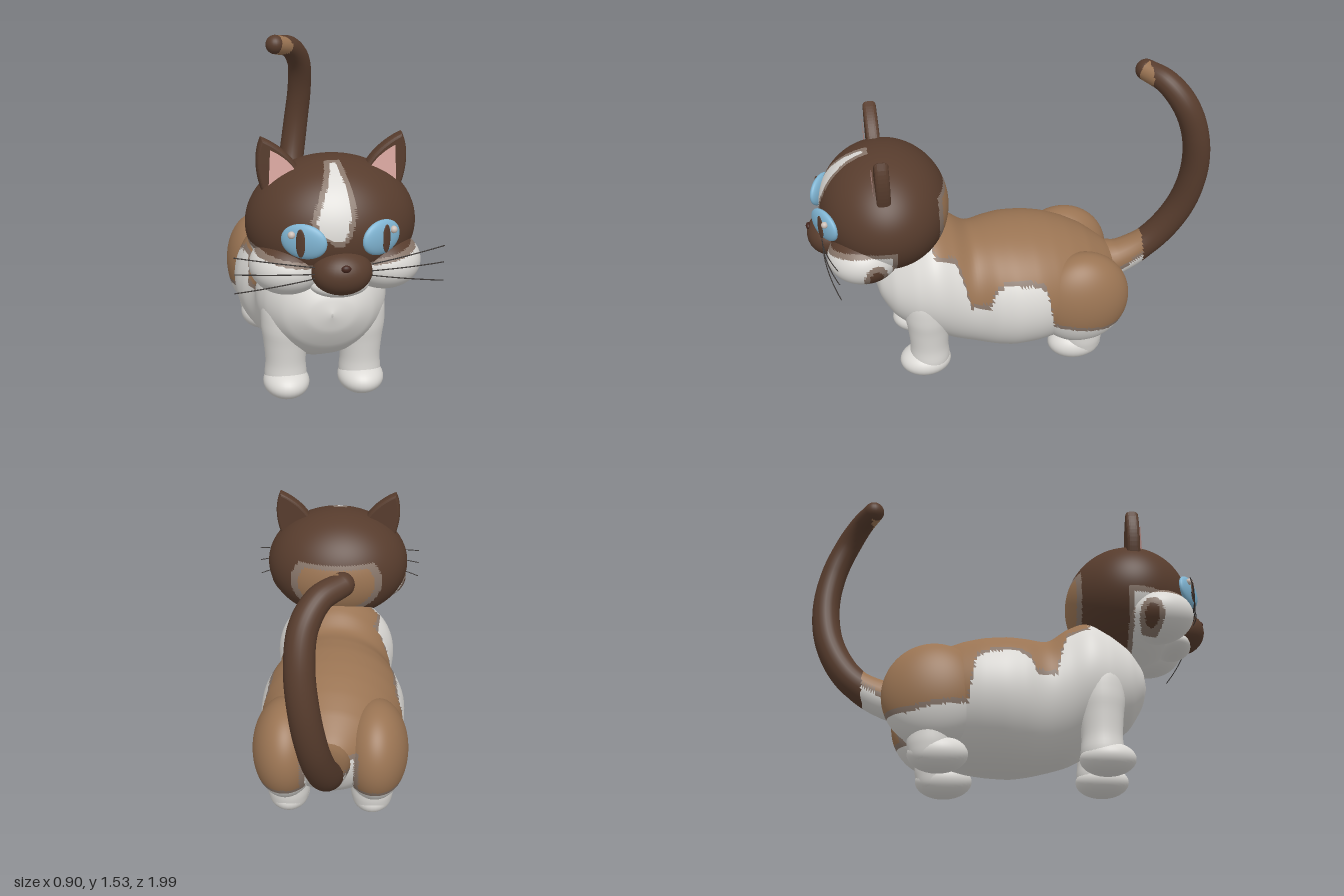
import * as THREE from 'three';

const mat = (name, color, side = THREE.FrontSide) => {
  const m = new THREE.MeshStandardMaterial({ color, side });
  m.name = name;
  return m;
};

// Piecewise-linear lookup through [t, value] pairs sorted by t
function along(points, t) {
  if (t <= points[0][0]) return points[0][1];
  for (let i = 1; i < points.length; i++) {
    const [a, u] = points[i - 1], [b, v] = points[i];
    if (t <= b) return u + ((v - u) * (t - a)) / (b - a);
  }
  return points[points.length - 1][1];
}

// Fur patch: d > 0 lies inside, with a thin blended rim around zero
const patch = (d, inside, outside) => (d > 0.012 ? inside : d > -0.012 ? 'edge' : outside);

export function createModel() {
  const cat = new THREE.Group();
  cat.name = 'cat';
  const M = {
    dark: mat('darkFur', 0x573c2d), tan: mat('tanFur', 0x9a7453),
    white: mat('whiteFur', 0xdbd9d5), edge: mat('patchEdge', 0x88766a),
    blue: mat('eyeBlue', 0x80b5d3), pink: mat('earPink', 0xdfaca5, THREE.DoubleSide),
    nose: mat('noseBrown', 0x42241c), glint: mat('eyeGlint', 0xcabdb5),
    whisker: mat('whiskerGrey', 0x3c3836),
  };
  const keys = Object.keys(M);

  const add = (name, geo, material, parent = cat) => {
    const mesh = new THREE.Mesh(geo, material);
    mesh.name = name;
    parent.add(mesh);
    return mesh;
  };

  // Sort faces into material groups by a colour rule on each face centre
  function addPainted(name, geo, rule) {
    const idx = geo.index.array, p = geo.attributes.position, bins = {};
    const mid = (get, i) => (get(idx[i]) + get(idx[i + 1]) + get(idx[i + 2])) / 3;
    for (let i = 0; i < idx.length; i += 3) {
      const key = rule(mid((k) => p.getX(k), i), mid((k) => p.getY(k), i), mid((k) => p.getZ(k), i));
      (bins[key] ??= []).push(idx[i], idx[i + 1], idx[i + 2]);
    }
    const order = [];
    geo.clearGroups();
    for (const key in bins) {
      geo.addGroup(order.length, bins[key].length, keys.indexOf(key));
      for (const v of bins[key]) order.push(v);
    }
    geo.setIndex(order);
    return add(name, geo, Object.values(M));
  }

  const ellipsoid = (c, r, n = 32) =>
    new THREE.SphereGeometry(1, n, Math.round(n * 0.75)).scale(...r).translate(...c);

  // Torso and neck: elliptical sections [z, top, bottom, half width], front to back
  const sections = [
    [0.685, 0.51, 0.49, 0.005], [0.665, 0.58, 0.41, 0.11], [0.6, 0.68, 0.3, 0.21], [0.5, 0.77, 0.22, 0.28],
    [0.4, 0.82, 0.17, 0.31], [0.3, 0.79, 0.115, 0.3], [0.2, 0.725, 0.085, 0.305], [0.1, 0.733, 0.066, 0.345],
    [0, 0.74, 0.058, 0.367], [-0.1, 0.735, 0.065, 0.365], [-0.2, 0.718, 0.08, 0.345], [-0.3, 0.685, 0.11, 0.31],
    [-0.4, 0.635, 0.16, 0.255], [-0.5, 0.56, 0.25, 0.16], [-0.55, 0.51, 0.33, 0.09], [-0.57, 0.43, 0.42, 0.005],
  ];
  const sizes = new THREE.CatmullRomCurve3(sections.map(([, t, b, w]) => new THREE.Vector3(t, b, w)));
  const depths = new THREE.CatmullRomCurve3(sections.map(([z]) => new THREE.Vector3(0, 0, z)));
  const rings = 100, around = 96, pos = [], index = [];
  for (let j = 0; j <= rings; j++) {
    const s = sizes.getPoint(j / rings), z = depths.getPoint(j / rings).z;
    for (let i = 0; i < around; i++) {
      const a = (i / around) * Math.PI * 2;
      pos.push(Math.cos(a) * s.z, (s.x + s.y) / 2 + (Math.sin(a) * (s.x - s.y)) / 2, z);
      if (j === rings) continue;
      const p = j * around + i, q = j * around + ((i + 1) % around);
      index.push(p, p + around, q, q, p + around, q + around);
    }
  }
  const torso = new THREE.BufferGeometry();
  torso.setAttribute('position', new THREE.Float32BufferAttribute(pos, 3));
  torso.setIndex(index);
  torso.computeVertexNormals();

  // Lower border of the tan saddle, as height by z
  const saddle = [
    [-0.58, 0.27], [-0.45, 0.26], [-0.3, 0.29], [-0.17, 0.31], [-0.13, 0.54], [-0.06, 0.57], [0.06, 0.58],
    [0.12, 0.54], [0.15, 0.46], [0.24, 0.46], [0.27, 0.6], [0.3, 0.69], [0.4, 0.72], [0.44, 1],
  ];
  const bodyFur = (x, y, z) => {
    let d = y - along(saddle, z);
    if (z < -0.4) d = Math.min(d, Math.max(Math.abs(x) - 0.13, y - 0.47));
    return patch(d, 'tan', 'white');
  };
  addPainted('torso', torso, bodyFur);

  // Legs and haunches
  const legProfile = (pts) =>
    new THREE.LatheGeometry(new THREE.SplineCurve(pts.map((p) => new THREE.Vector2(...p))).getPoints(32), 32);
  for (const s of [-1, 1]) {
    const side = s > 0 ? 'left' : 'right';
    add(side + 'FrontLeg', legProfile([[0, 0.02], [0.07, 0.03], [0.1, 0.09], [0.096, 0.18], [0.104, 0.28],
      [0.115, 0.38], [0.1, 0.5], [0.001, 0.58]]).translate(s * 0.18, 0, 0.445), M.white);
    add(side + 'FrontPaw', ellipsoid([s * 0.18, 0.078, 0.468], [0.11, 0.075, 0.13]), M.white);
    addPainted(side + 'Haunch', ellipsoid([s * 0.22, 0.38, -0.335], [0.163, 0.255, 0.245], 80), bodyFur);
    add(side + 'HindLeg', legProfile([[0, 0.03], [0.08, 0.05], [0.105, 0.12], [0.11, 0.2], [0.12, 0.28],
      [0.001, 0.34]]).translate(s * 0.21, 0, -0.345), M.white);
    add(side + 'HindPaw', ellipsoid([s * 0.21, 0.095, -0.31], [0.105, 0.085, 0.14]), M.white);
  }

  // Tail: tapering tube with a rounded tip
  const tailPath = new THREE.CatmullRomCurve3([
    [0, 0.43, -0.46], [0, 0.45, -0.6], [0.01, 0.55, -0.76], [0.045, 0.75, -0.885], [0.08, 0.98, -0.93],
    [0.1, 1.2, -0.905], [0.085, 1.36, -0.84], [0.025, 1.45, -0.765], [-0.065, 1.478, -0.69],
  ].map((p) => new THREE.Vector3(...p)));
  const tail = new THREE.TubeGeometry(tailPath, 120, 1, 24);
  const tp = tail.attributes.position, v = new THREE.Vector3();
  for (let i = 0; i < tp.count; i++) {
    const t = Math.floor(i / 25) / 120, c = tailPath.getPointAt(t);
    const r = along([[0, 0.12], [0.1, 0.09], [0.2, 0.075], [0.5, 0.07], [0.85, 0.063], [1, 0.052]], t);
    v.fromBufferAttribute(tp, i).sub(c).multiplyScalar(r).add(c);
    tp.setXYZ(i, v.x, v.y, v.z);
  }
  addPainted('tail', tail, (x, y, z) =>
    z < -0.7 ? 'dark' : patch(y - 0.44 + (z + 0.6) * 0.6, 'tan', 'white'));
  add('tailTip', ellipsoid([-0.065, 1.478, -0.69], [0.052, 0.052, 0.052], 24), M.dark);

  // Head: dark skull with forehead blaze, pale jaw and tan nape
  const blazeLeft = [[0.93, -0.03], [0.97, -0.1], [1.02, -0.12], [1.1, -0.085], [1.16, -0.055], [1.22, -0.03]];
  const blazeRight = [[0.93, 0], [0.96, 0.025], [1.03, 0.045], [1.12, 0.045], [1.22, 0.015]];
  addPainted('skull', ellipsoid([0, 0.93, 0.61], [0.375, 0.295, 0.31], 150), (x, y, z) => {
    if (z < 0.42) return patch(Math.min(0.36 - z, 1.03 - y), 'tan', 'dark');
    if (y > 0.9) {
      const d = Math.min(x - along(blazeLeft, y), along(blazeRight, y) - x, y - 0.93, z - 0.68);
      return patch(d, 'white', 'dark');
    }
    return patch(Math.min(0.79 + 0.2 * Math.abs(x) - y, z - 0.6), 'white', 'dark');
  });
  add('muzzle', ellipsoid([0, 0.795, 0.885], [0.13, 0.098, 0.105]), M.dark);
  add('chin', ellipsoid([0, 0.72, 0.83], [0.13, 0.055, 0.09]), M.white);
  add('nose', ellipsoid([0, 0.843, 0.978], [0.021, 0.016, 0.013], 16), M.nose);

  // Paired face parts
  for (const s of [-1, 1]) {
    const side = s > 0 ? 'left' : 'right';
    addPainted(side + 'Cheek', ellipsoid([s * 0.21, 0.785, 0.735], [0.165, 0.125, 0.17], 72), (x, y, z) => {
      const spot = Math.hypot((z - 0.69) / 0.045, (y - 0.735) / 0.065) - 1;
      const d = Math.min(0.8 + 0.18 * Math.abs(x) - y, z - 0.6, Math.abs(x) > 0.24 ? spot * 0.05 : 1);
      return patch(d, 'white', 'dark');
    });

    // Eye: flattened disc turned outwards, with slit pupil and glint
    const eye = new THREE.Group();
    eye.name = side + 'Eye';
    eye.position.set(s * 0.163, 0.945, 0.9);
    eye.rotation.y = s * 0.53;
    cat.add(eye);
    add('iris', ellipsoid([0, 0, 0], [0.102, 0.076, 0.028]), M.blue, eye);
    add('pupil', ellipsoid([s * 0.005, 0, 0.026], [0.021, 0.062, 0.006], 24), M.dark, eye);
    add('glint', ellipsoid([s * 0.045, 0.031, 0.026], [0.016, 0.016, 0.016], 16), M.glint, eye);

    // Ear: bevelled leaf shape with a pink inner plate
    const ear = new THREE.Shape();
    ear.moveTo(s * 0.28, 1.06);
    ear.quadraticCurveTo(s * 0.335, 1.2, s * 0.298, 1.305);
    ear.quadraticCurveTo(s * 0.21, 1.26, s * 0.165, 1.19);
    ear.lineTo(s * 0.16, 1.06);
    add(side + 'Ear', new THREE.ExtrudeGeometry(ear, {
      depth: 0.02, bevelThickness: 0.022, bevelSize: 0.014, bevelSegments: 4, curveSegments: 12,
    }).translate(0, 0, 0.617), M.dark);
    const inner = new THREE.Shape();
    inner.moveTo(s * 0.278, 1.11);
    inner.lineTo(s * 0.27, 1.275);
    inner.quadraticCurveTo(s * 0.2, 1.24, s * 0.165, 1.185);
    add(side + 'InnerEar', new THREE.ShapeGeometry(inner).translate(0, 0, 0.67), M.pink);

    // Whiskers
    for (const [y0, y1] of [[0.835, 0.875], [0.805, 0.8], [0.785, 0.715]]) {
      const curve = new THREE.QuadraticBezierCurve3(
        new THREE.Vector3(s * 0.12, y0, 0.92),
        new THREE.Vector3(s * 0.28, (y0 + y1) / 2 + 0.006, 0.92),
        new THREE.Vector3(s * 0.45, y1, 0.86));
      add(side + 'Whisker', new THREE.TubeGeometry(curve, 12, 0.0025, 6), M.whisker);
    }
  }
  return cat;
}
